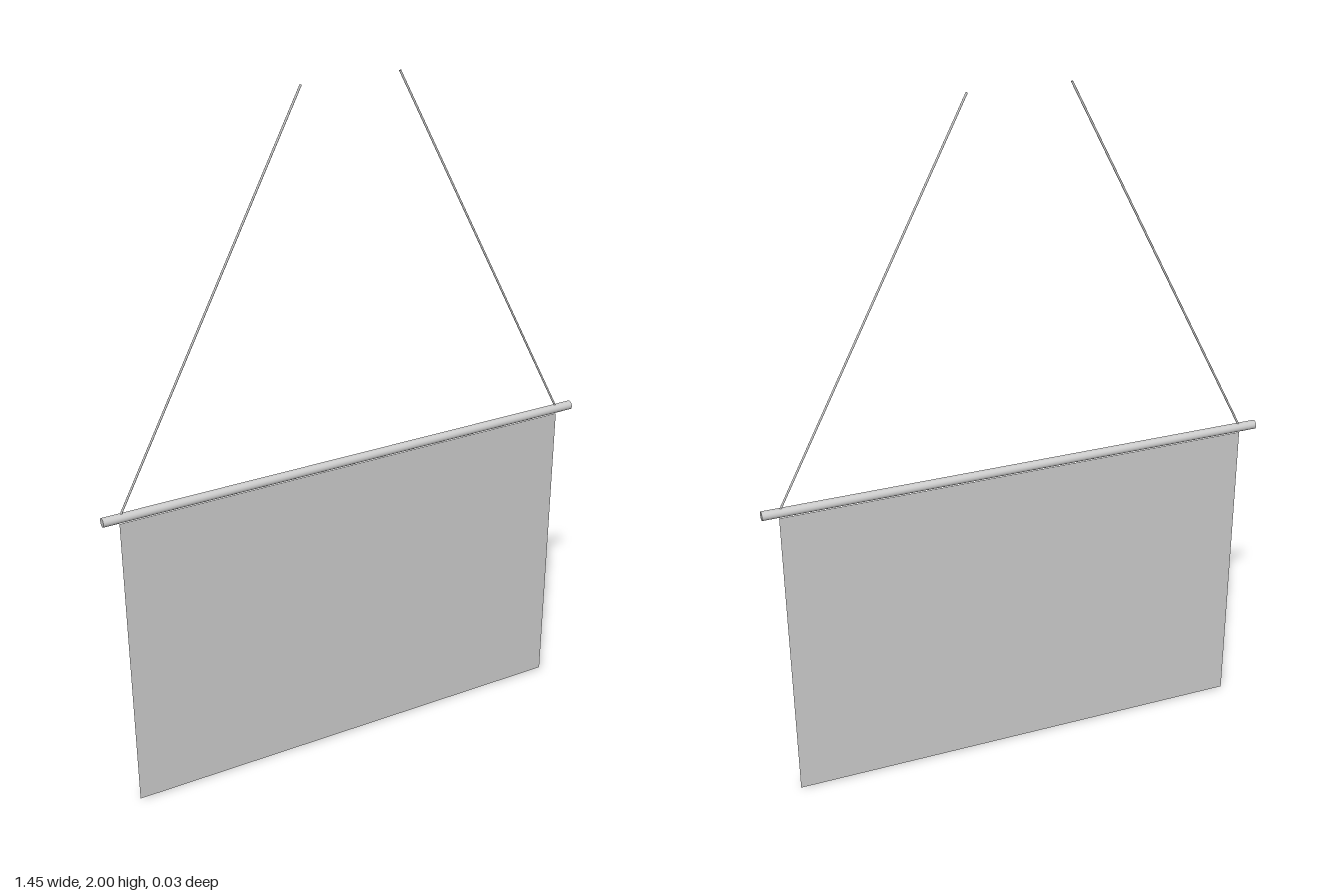
import * as THREE from 'three';

const ROD_Y = 0.929;
const ROD_RADIUS = 0.013;

export function createModel() {
  const group = new THREE.Group();
  const material = new THREE.MeshStandardMaterial({ color: 0xcccccc });
  const clothMaterial = new THREE.MeshStandardMaterial({ color: 0xcccccc, side: THREE.DoubleSide });

  const add = (name, geometry, mat = material) => {
    const mesh = new THREE.Mesh(geometry, mat);
    mesh.name = name;
    group.add(mesh);
    return mesh;
  };

  // Flat hanging cloth, just below the rod
  const clothHeight = 0.912;
  add('bannerCloth', new THREE.PlaneGeometry(1.36, clothHeight), clothMaterial)
    .position.y = clothHeight / 2;

  // Horizontal rod overhanging the cloth on both sides
  const rod = add('rod', new THREE.CylinderGeometry(ROD_RADIUS, ROD_RADIUS, 1.454, 16));
  rod.rotation.z = Math.PI / 2;
  rod.position.y = ROD_Y;

  // Slanted cords rising from the rod ends toward the middle
  for (const [name, side] of [['leftCord', 1], ['rightCord', -1]]) {
    const path = new THREE.LineCurve3(
      new THREE.Vector3(side * 0.68, ROD_Y, 0),
      new THREE.Vector3(side * 0.138, 2, 0)
    );
    add(name, new THREE.TubeGeometry(path, 1, 0.003, 8), clothMaterial);
  }

  return group;
}
